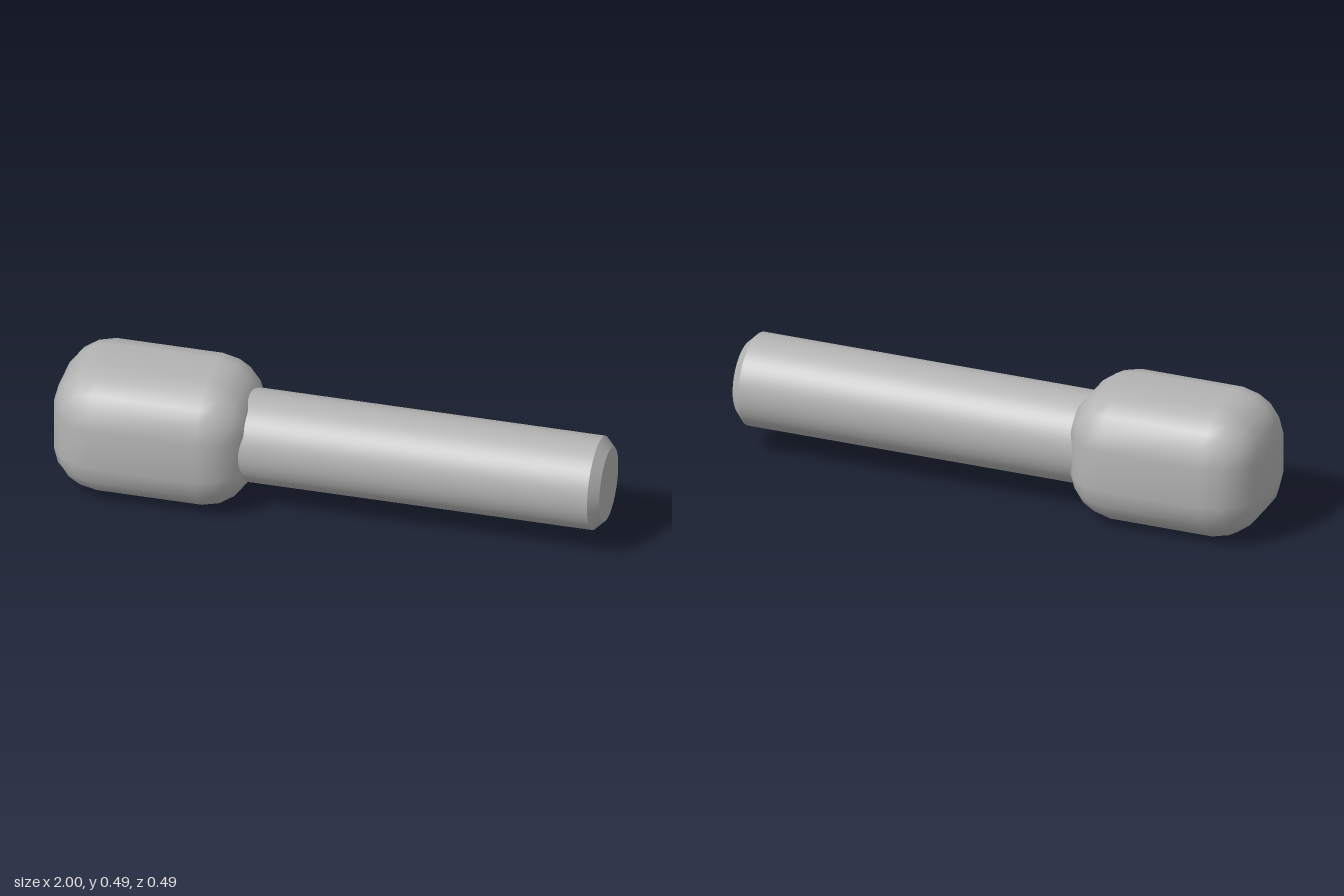
import * as THREE from 'three';
import { mergeVertices } from 'three/addons/utils/BufferGeometryUtils.js';

const CENTER_Y = 0.247;

// Softened block: a grid of 5 x 5 quads per side, with each corner patch pushed out from an inner core
function softBlock(core, radius) {
  const geo = new THREE.BoxGeometry(5, 5, 5, 5, 5, 5);
  geo.deleteAttribute('uv');
  geo.deleteAttribute('normal');
  const block = mergeVertices(geo);
  const pos = block.attributes.position;
  const power = 1.84;
  const slope = [0, 0.45, 1]; // direction of flat edge, mid bevel and corner line
  for (let i = 0; i < pos.count; i++) {
    const p = [pos.getX(i), pos.getY(i), pos.getZ(i)];
    const d = p.map((c) => Math.sign(c) * slope[Math.round(Math.abs(c) - 0.5)]);
    const len = d.reduce((s, c) => s + Math.abs(c) ** power, 0) ** (1 / power);
    const q = p.map((c, k) => Math.sign(c) * core[k] + (d[k] / len) * radius);
    pos.setXYZ(i, q[0], q[1], q[2]);
  }
  block.computeVertexNormals();
  return block;
}

export function createModel() {
  const group = new THREE.Group();
  const grey = new THREE.MeshStandardMaterial({ color: 0xb4b4b4 });
  grey.name = 'plain grey';

  const add = (name, geometry, x) => {
    const mesh = new THREE.Mesh(geometry, grey);
    mesh.name = name;
    mesh.position.set(x, CENTER_Y, 0);
    group.add(mesh);
    return mesh;
  };

  // Rounded block head
  add('head', softBlock([0.193, 0.075, 0.075], 0.172), -0.635);

  // Round shaft, its root buried in the head
  const shaft = new THREE.CylinderGeometry(0.168, 0.168, 1.365, 64, 1, true);
  add('shaft', shaft.rotateZ(-Math.PI / 2), 0.2825);

  // Chamfered tip with a flat end
  const tip = new THREE.CylinderGeometry(0.133, 0.168, 0.035, 64);
  add('shaftTip', tip.rotateZ(-Math.PI / 2), 0.9825);

  return group;
}
